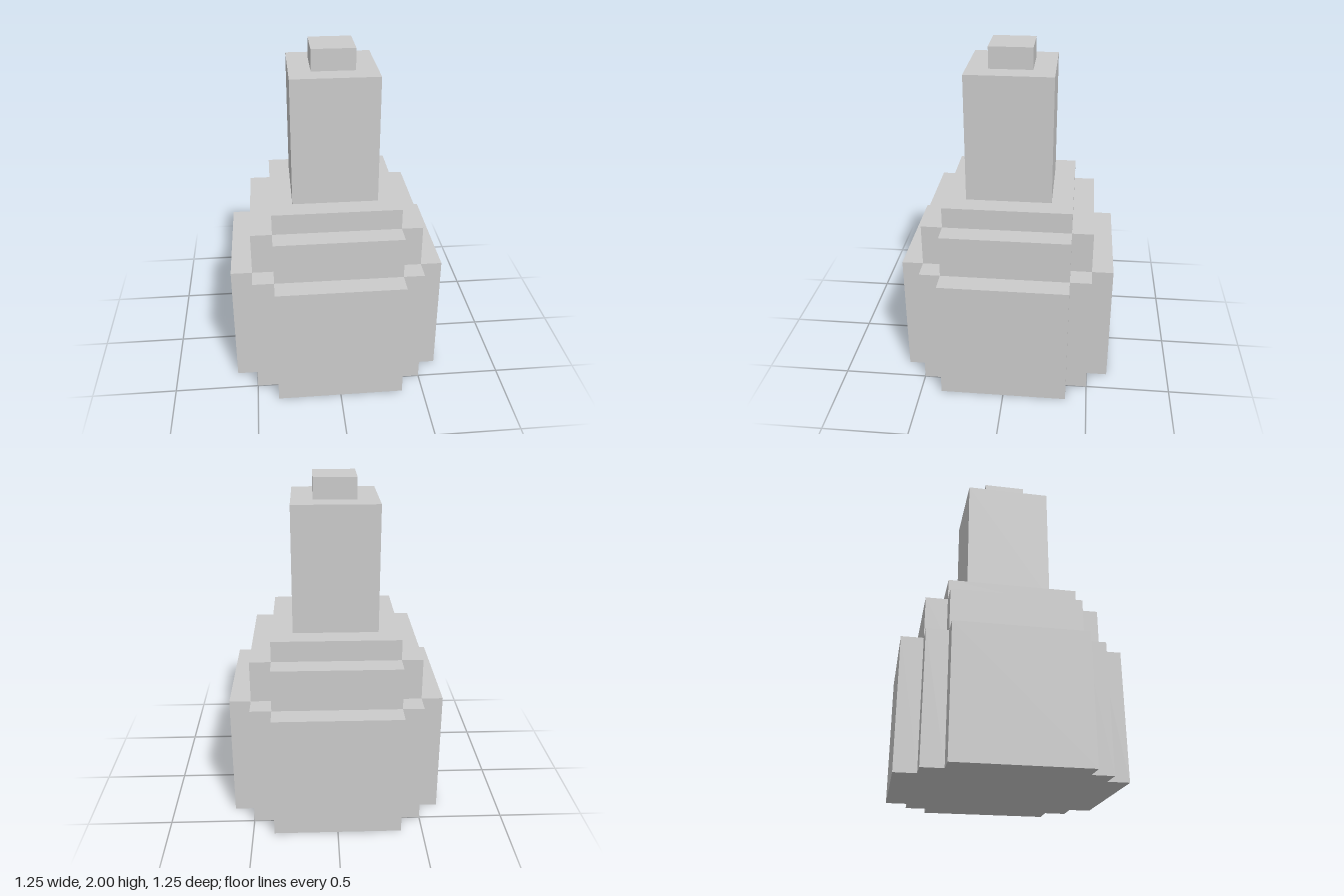
import * as THREE from 'three';

const material = new THREE.MeshStandardMaterial({ color: 0xcccccc, flatShading: true });

// Upright prism whose plan is a quarter outline repeated around the centre
function tier(name, quarter, bottom, top) {
  const outline = [];
  for (let i = 0; i < 4; i++) {
    for (const [x, y] of quarter) {
      outline.push(new THREE.Vector2(x, y).rotateAround(new THREE.Vector2(), i * Math.PI / 2));
    }
  }
  const geometry = new THREE.ExtrudeGeometry(new THREE.Shape(outline), {
    depth: top - bottom,
    bevelEnabled: false,
  });
  geometry.rotateX(-Math.PI / 2);
  geometry.translate(0, bottom, 0);
  const mesh = new THREE.Mesh(geometry, material);
  mesh.name = name;
  return mesh;
}

export function createModel() {
  const model = new THREE.Group();
  model.name = 'steppedBottle';
  const a = 0.125, b = 0.25, c = 0.375, d = 0.5, e = 0.625;

  model.add(
    // Body with doubly stepped corners
    tier('body', [[e, c], [d, c], [d, d], [c, d], [c, e]], 0, 0.75),
    // Shoulders, narrowing in two steps
    tier('lowerShoulder', [[d, c], [c, c], [c, d]], 0.75, 1),
    tier('upperShoulder', [[c, c]], 1, 1.125),
    // Neck and stopper
    tier('neck', [[b, b]], 1.125, 1.875),
    tier('stopper', [[a, a]], 1.875, 2),
  );
  return model;
}
